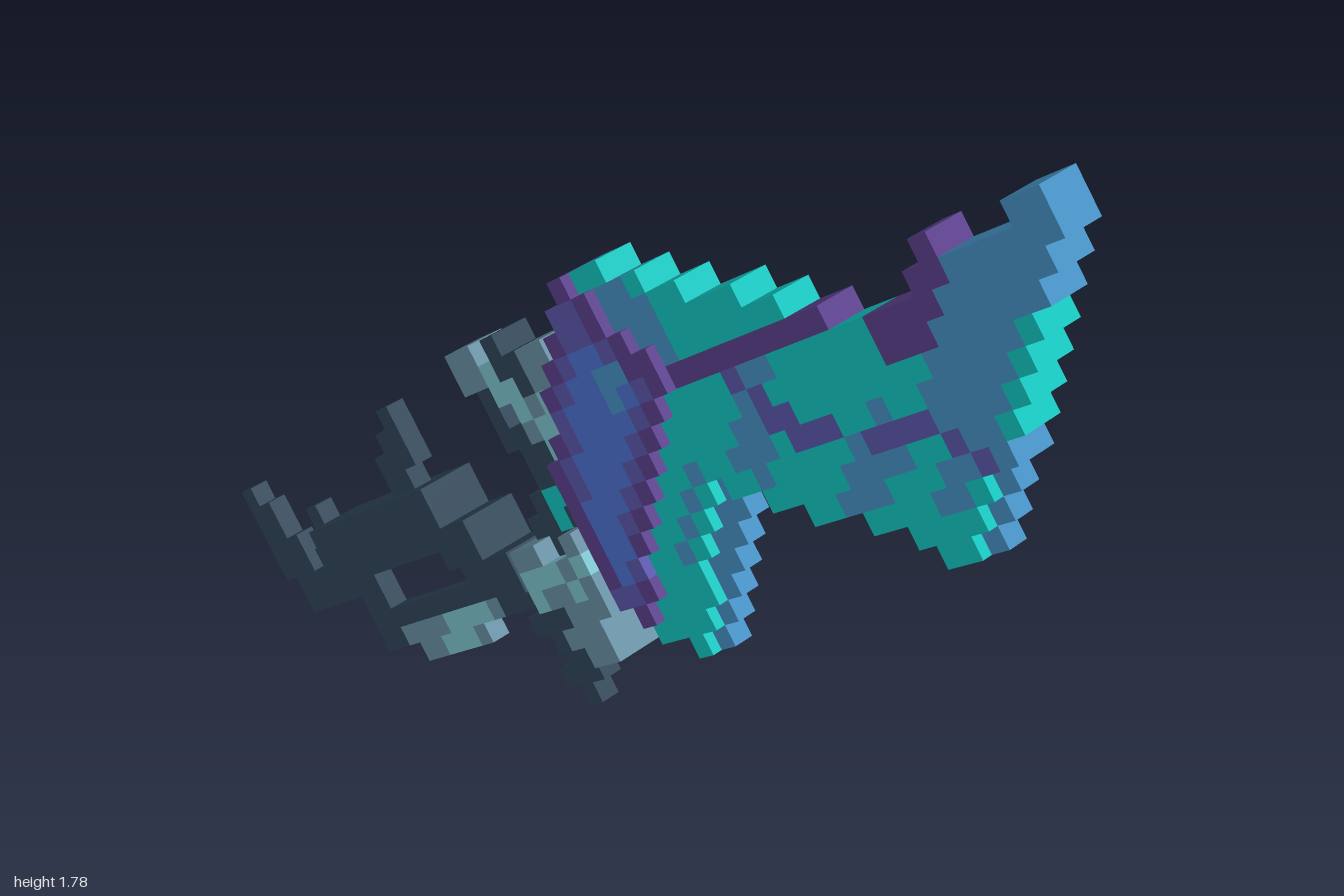
import * as THREE from 'three';
import { mergeGeometries } from 'three/addons/utils/BufferGeometryUtils.js';

// The sword is made of cubes on a grid tilted by 40 degrees; TIP is grid point (60, 0).
const CELL = 0.04176, ANGLE = THREE.MathUtils.degToRad(40);
const COLUMNS = 60, V0 = -16, V1 = 8;
const TIP = new THREE.Vector2(0.973, 1.749);

const toWorld = (u, v) =>
  new THREE.Vector2(u - COLUMNS, v).rotateAround(new THREE.Vector2(), ANGLE).multiplyScalar(CELL).add(TIP);

// Outlines: free polygon, rectangle in grid units, straight strip of a given width
const poly = (...n) => n.filter((_, k) => k % 2 === 0).map((x, k) => new THREE.Vector2(x, n[2 * k + 1]));
const bar = (u0, u1, v0, v1) => [toWorld(u0, v0), toWorld(u1, v0), toWorld(u1, v1), toWorld(u0, v1)];
function strip(x0, y0, x1, y1, width) {
  const a = new THREE.Vector2(x0, y0), b = new THREE.Vector2(x1, y1);
  const side = b.clone().sub(a).setLength(width / 2).rotateAround(new THREE.Vector2(), Math.PI / 2);
  return [a.clone().add(side), b.clone().add(side), b.sub(side), a.sub(side)];
}

// Smaller copy of an outline about its middle
function shrink(outline, kx, ky) {
  const c = outline.reduce((sum, p) => sum.add(p), new THREE.Vector2()).divideScalar(outline.length);
  return outline.map((p) => new THREE.Vector2(c.x + (p.x - c.x) * kx, c.y + (p.y - c.y) * ky));
}

function inside(outline, p) {
  let hit = false;
  outline.forEach((a, k) => {
    const b = outline.at(k - 1);
    if ((a.y > p.y) !== (b.y > p.y) && p.x < ((b.x - a.x) * (p.y - a.y)) / (b.y - a.y) + a.x) hit = !hit;
  });
  return hit;
}

export function createModel() {
  const mat = (name, color) => new THREE.MeshStandardMaterial({ name, color });
  const teal = mat('teal', 0x10c4be), blue = mat('blue', 0x4590c4);
  const royal = mat('royalBlue', 0x4a70cc), violet = mat('violet', 0x5a55ab);
  const purple = mat('purple', 0x5a3f8c), dark = mat('darkSlate', 0x2d4456);
  const steel = mat('steel', 0x6890a4), pale = mat('paleCyan', 0x7cc4ce);

  const sword = new THREE.Group();
  sword.name = 'sword';
  sword.rotation.z = ANGLE;
  sword.position.set(TIP.x, TIP.y, 0);

  // A part adds cells; a detail only recolours cells that are already there
  const cells = new Map(), layers = [];
  const fill = (name, material, thick, outlines, onlyOver) => {
    const layer = { name, material, thick };
    layers.push(layer);
    for (let v = V0; v < V1; v++) for (let u = 0; u < COLUMNS; u++) {
      const key = u + ',' + v, centre = toWorld(u + 0.5, v + 0.5);
      if (onlyOver && !cells.has(key)) continue;
      if (outlines.some((o) => inside(o, centre))) cells.set(key, layer);
    }
  };
  const part = (name, material, thick, ...outlines) => fill(name, material, thick, outlines, false);
  const detail = (name, material, thick, ...outlines) => fill(name, material, thick, outlines, true);

  // Handle
  part('pommel', dark, 1, strip(-0.99, 0.19, -0.71, 0.05, 0.1), strip(-0.73, 0.05, -0.7, 0.2, 0.08), bar(5, 6, -5, 0));
  part('spike', dark, 1, strip(-0.53, 0.66, -0.49, 0.55, 0.065), strip(-0.54, 0.55, -0.44, 0.48, 0.065));
  part('fingerGuard', dark, 1, bar(6, 8, -8, -4), bar(8, 21, -7, -6), bar(16, 21, -8, -7));
  part('fingerPlate', steel, 1, bar(8, 17, -8, -7), bar(9, 15, -9, -8));
  detail('fingerPlateShine', pale, 1, bar(12, 16, -8, -7), bar(11, 14, -9, -8));
  const gripEnd = [toWorld(23, -8), toWorld(21, -8), toWorld(15, -4), toWorld(15, -1), toWorld(16, -1)];
  part('grip', dark, 3, bar(6, 16, -4, -1), gripEnd);

  // Guard
  part('guardTail', dark, 1, strip(0.0, 0.28, 0.03, 0.46, 0.09), strip(0.03, 0.37, 0.09, 0.34, 0.05));
  part('stem', dark, 2, strip(-0.04, 0.8, -0.01, 0.62, 0.12), strip(0.0, 0.64, 0.0, 0.44, 0.2));
  part('arm', steel, 2, strip(-0.3, 0.89, 0.0, 0.88, 0.09), strip(-0.06, 1.02, -0.03, 0.78, 0.11));
  part('armRidge', dark, 2, strip(-0.21, 0.98, -0.09, 0.91, 0.06), strip(-0.23, 0.83, -0.05, 0.78, 0.06));
  detail('armShine', pale, 2, strip(-0.21, 0.89, -0.11, 0.87, 0.06), strip(-0.03, 0.97, -0.01, 0.8, 0.08));
  part('collarBase', dark, 4, strip(-0.03, 0.47, 0.09, 0.45, 0.08));
  part('collar', steel, 4, strip(0.07, 0.7, 0.11, 0.45, 0.11), strip(-0.08, 0.54, 0.02, 0.56, 0.11));
  detail('collarShine', pale, 4, strip(0.06, 0.66, 0.09, 0.56, 0.05), strip(-0.03, 0.5, -0.01, 0.6, 0.06));
  part('gem', teal, 2, strip(-0.06, 0.71, 0.02, 0.71, 0.07));

  // Blade body
  part('blade', teal, 2, poly(0.96, 1.78, 1, 1.74, 0.985, 1.7, 0.935, 1.075, 0.75, 1.06, 0.41, 0.955,
    0.385, 0.62, 0.37, 0.575, 0.2, 0.56, 0, 0.78, -0.015, 1.03, 0, 1.2, 0.06, 1.25, 0.22, 1.28,
    0.52, 1.38, 0.68, 1.4, 0.75, 1.56));
  detail('bladeTip', blue, 2, strip(0.9, 1.8, 0.87, 1.27, 0.22));
  detail('tipInlay', teal, 2, strip(0.953, 1.6, 0.93, 1.32, 0.03));
  detail('lowerTipEdge', blue, 1, strip(0.945, 1.28, 0.93, 1.06, 0.05));
  detail('blueBands', blue, 2, strip(0.85, 1.27, 0.84, 1.14, 0.055), strip(0.73, 1.26, 0.65, 1.05, 0.09),
    strip(0.42, 1.26, 0.45, 1.0, 0.1), strip(0.15, 1.24, 0.17, 1.12, 0.17));

  // Blade lines
  detail('innerLine', violet, 2, strip(0.3, 1.18, 0.56, 1.145, 0.032), strip(0.55, 1.135, 0.78, 1.295, 0.035),
    strip(0.77, 1.295, 0.92, 1.285, 0.03));
  part('backEdge', purple, 2, bar(36, 47, -1, 0));
  part('notchEdge', purple, 2, strip(0.68, 1.38, 0.76, 1.47, 0.06), strip(0.75, 1.44, 0.77, 1.59, 0.055));

  // Lower blade with its thick core
  detail('lowerEdge', blue, 1, strip(0.39, 0.96, 0.375, 0.56, 0.06));
  detail('lowerInlay', blue, 2, strip(0.304, 1, 0.286, 0.72, 0.028));
  const core = poly(-0.04, 1.16, 0, 1.2, 0.24, 1.13, 0.215, 0.8, 0.25, 0.57, 0.19, 0.54, 0, 0.78, -0.04, 1);
  detail('core', purple, 3, core);
  detail('coreBorder', violet, 3, shrink(core, 0.74, 0.85));
  detail('coreFace', royal, 3, shrink(core, 0.52, 0.7));
  detail('coreSpot', blue, 3, strip(0.13, 1.09, 0.13, 1, 0.06));

  // Join each run of equal cells in a row into one box
  for (const layer of layers) {
    const boxes = [];
    for (let v = V0; v < V1; v++) for (let u = 0; u < COLUMNS; u++) {
      const start = u;
      while (u < COLUMNS && cells.get(u + ',' + v) === layer) u++;
      if (u === start) continue;
      const box = new THREE.BoxGeometry((u - start) * CELL, CELL, layer.thick * CELL);
      boxes.push(box.translate(((start + u) / 2 - COLUMNS) * CELL, (v + 0.5) * CELL, 0));
    }
    if (!boxes.length) continue;
    const mesh = new THREE.Mesh(mergeGeometries(boxes), layer.material);
    mesh.name = layer.name;
    sword.add(mesh);
  }

  const root = new THREE.Group();
  root.name = 'voxelSword';
  root.add(sword);
  return root;
}
